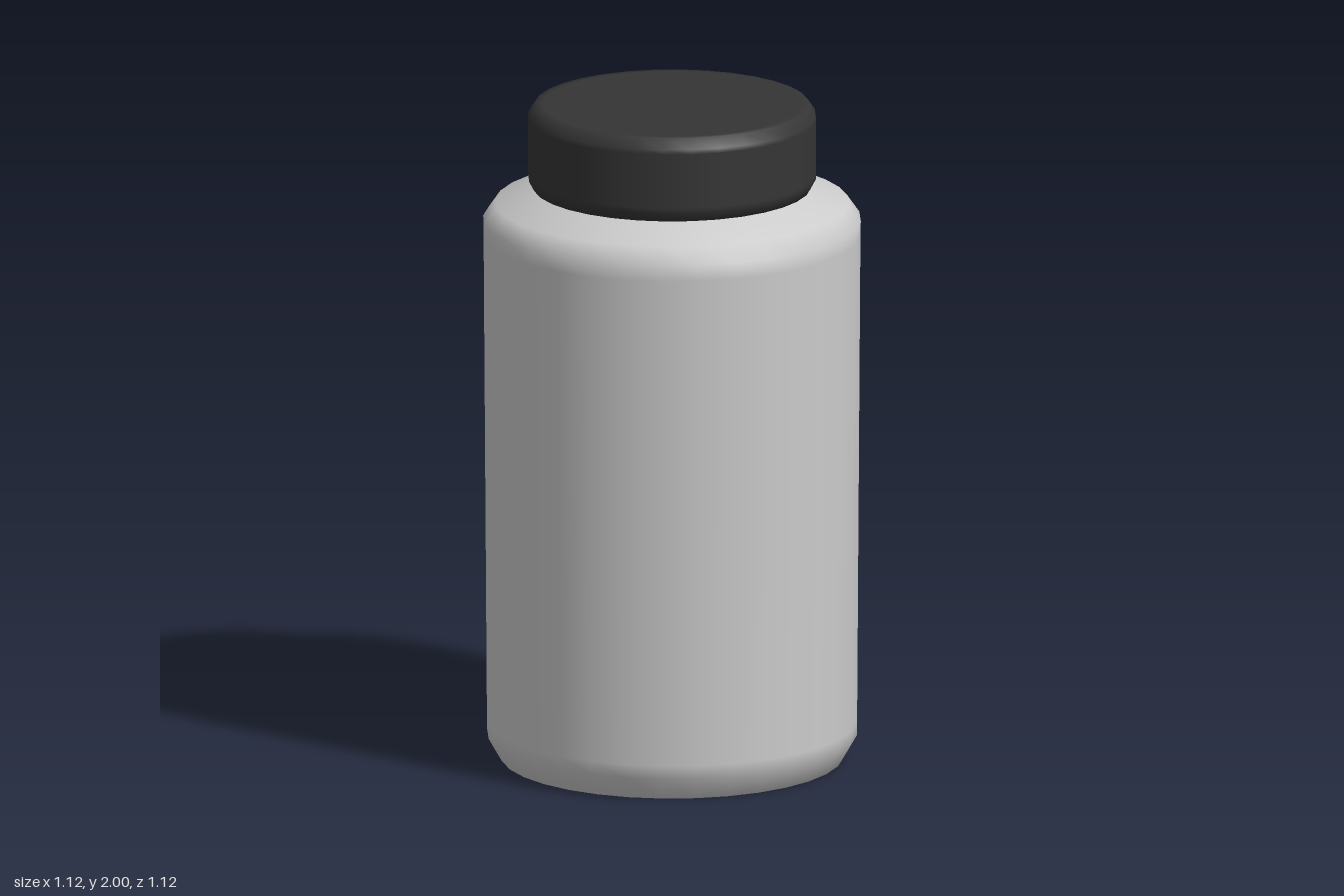
import * as THREE from 'three';

const SIDES = 32;

// Turned part from [radius, height] pairs, listed from bottom centre to top centre
function turned(name, profile, material) {
  const points = profile.map(([r, y]) => new THREE.Vector2(r, y));
  const mesh = new THREE.Mesh(new THREE.LatheGeometry(points, SIDES), material);
  mesh.name = name;
  return mesh;
}

export function createModel() {
  const bottlePlastic = new THREE.MeshStandardMaterial({ color: 0xcbcbcb });
  bottlePlastic.name = 'light grey plastic';
  const capPlastic = new THREE.MeshStandardMaterial({ color: 0x353535 });
  capPlastic.name = 'black plastic';

  const model = new THREE.Group();
  model.name = 'bottle';

  // Jar body: shallow hollow base, chamfered foot, slight outward taper, sloped shoulder and neck
  model.add(turned('body', [
    [0, 0.02], [0.42, 0.02], [0.46, 0.015], [0.49, 0], [0.51, 0],
    [0.55, 0.07], [0.551, 0.11], [0.561, 1.6], [0.562, 1.65],
    [0.527, 1.7], [0.4, 1.745], [0.39, 1.76], [0, 1.76],
  ], bottlePlastic));

  // Screw cap: straight wall with bevelled rims
  model.add(turned('cap', [
    [0, 1.747], [0.38, 1.747], [0.413, 1.747], [0.428, 1.775], [0.428, 1.79],
    [0.428, 1.955], [0.428, 1.97], [0.408, 2], [0.385, 2], [0, 2],
  ], capPlastic));

  return model;
}
